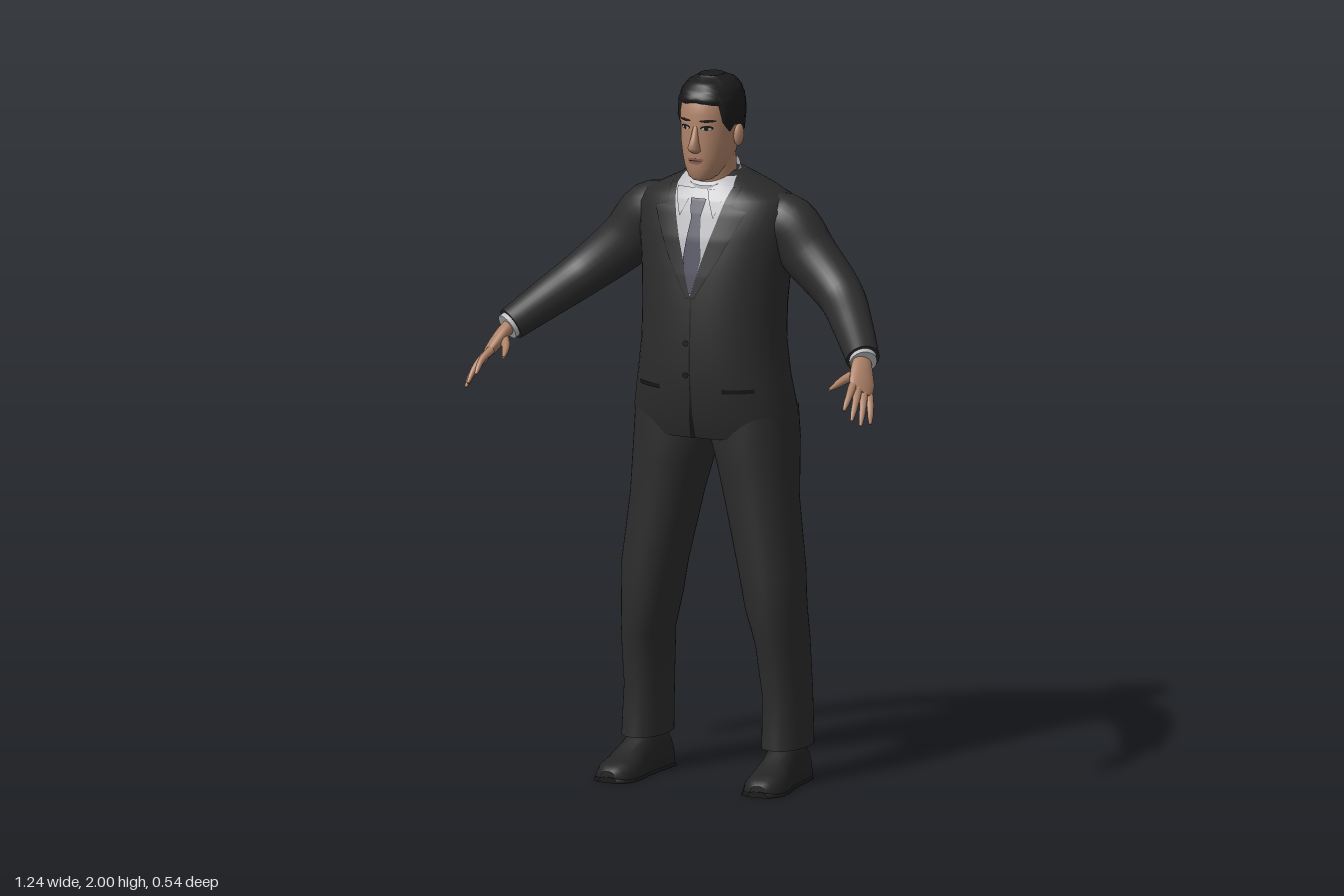
import * as THREE from 'three';

const V = (x, y, z) => new THREE.Vector3(x, y, z);
const mat = (name, color, double) => new THREE.MeshStandardMaterial({ name, color, side: double ? THREE.DoubleSide : THREE.FrontSide });

// Interpolate a row of a table keyed by its first column
function at(table, k) {
  if (k <= table[0][0]) return table[0];
  for (let i = 1; i < table.length; i++) {
    if (k <= table[i][0]) {
      const a = table[i - 1], b = table[i], t = (k - a[0]) / (b[0] - a[0]);
      return a.map((v, c) => v + (b[c] - v) * t);
    }
  }
  return table[table.length - 1];
}

function geometry(pos, idx) {
  const g = new THREE.BufferGeometry();
  g.setAttribute('position', new THREE.Float32BufferAttribute(pos.flatMap(p => [p.x, p.y, p.z]), 3));
  g.setIndex(idx);
  g.computeVertexNormals();
  return g;
}

// Skin a list of closed rings, with optional flat end caps
function loft(rings, caps = true) {
  const n = rings[0].length, pos = rings.flat(), idx = [];
  for (let i = 0; i < rings.length - 1; i++) for (let j = 0; j < n; j++) {
    const k = (j + 1) % n, a = i * n + j, b = i * n + k;
    idx.push(a, b, b + n, a, b + n, a + n);
  }
  if (caps) [rings[0], rings[rings.length - 1]].forEach((ring, end) => {
    const o = pos.length, c = V(0, 0, 0);
    ring.forEach(p => c.addScaledVector(p, 1 / n));
    pos.push(...ring.map(p => p.clone()), c);
    for (let j = 0; j < n; j++) {
      const k = (j + 1) % n;
      idx.push(o + n, o + (end ? j : k), o + (end ? k : j));
    }
  });
  return geometry(pos, idx);
}

// Horizontal rounded ring from a section row [y, rx, zFront, zBack, xCentre]
const POWER = 2.2;
const soft = v => Math.sign(v) * Math.abs(v) ** (2 / POWER);
function ring([y, rx, zf, zb, xc = 0], side = 1, n = 48, tilt = 0) {
  return Array.from({ length: n }, (_, j) => {
    const a = j / n * Math.PI * 2, dz = (zf - zb) / 2 * soft(Math.cos(a));
    return V(side * xc + rx * soft(Math.sin(a)), y - tilt * dz, (zf + zb) / 2 + dz);
  });
}
const body = (table, side = 1, n = 48) => loft(table.map(r => ring(r, side, n)));

// Oval tube along a smooth path, one [ru, rv] pair per point
function limb(points, radii, across, steps = 18, n = 20) {
  const curve = new THREE.CatmullRomCurve3(points);
  const table = radii.map((r, i) => [i / (radii.length - 1), ...r]);
  return loft(Array.from({ length: steps + 1 }, (_, i) => {
    const t = i / steps, c = curve.getPoint(t), d = curve.getTangent(t);
    const u = across.clone().addScaledVector(d, -across.dot(d)).normalize(), v = d.clone().cross(u);
    const [, ru, rv] = at(table, t);
    return Array.from({ length: n }, (_, j) => {
      const a = j / n * Math.PI * 2;
      return c.clone().addScaledVector(u, ru * Math.cos(a)).addScaledVector(v, rv * Math.sin(a));
    });
  }));
}

// Thin sheet lying on the front (or back, dir -1) of a sectioned body
function patch(table, y0, y1, edgeA, edgeB, off, dir = 1, rows = 20, cols = 8) {
  const pos = [], idx = [];
  for (let i = 0; i <= rows; i++) {
    const y = y0 + (y1 - y0) * i / rows, [, rx, zf, zb] = at(table, y);
    const l = Math.min(edgeA(y), edgeB(y)), r = Math.max(edgeA(y), edgeB(y));
    for (let j = 0; j <= cols; j++) {
      const x = dir > 0 ? l + (r - l) * j / cols : r + (l - r) * j / cols;
      const q = Math.max(0, 1 - Math.abs(x / rx) ** POWER) ** (1 / POWER);
      pos.push(V(x, y, (zf + zb) / 2 + dir * ((zf - zb) / 2 * q + off)));
      if (i < rows && j < cols) {
        const a = i * (cols + 1) + j, b = a + cols + 1;
        idx.push(a, a + 1, b + 1, a, b + 1, b);
      }
    }
  }
  return geometry(pos, idx);
}
function spot(table, x, y, w, h, off) {
  const half = k => w * Math.sqrt(Math.max(0, 1 - ((k - y) / h) ** 2));
  return patch(table, y - h, y + h, k => x - half(k), k => x + half(k), off, 1, 10, 6);
}

const TORSO = [[.985, .235, .04, -.264], [1.05, .235, .063, -.266], [1.15, .217, .077, -.26], [1.25, .205, .077, -.256],
  [1.35, .205, .072, -.262], [1.45, .212, .06, -.268], [1.55, .225, .042, -.268], [1.62, .23, .02, -.262],
  [1.655, .21, .006, -.254], [1.68, .16, -.01, -.242], [1.705, .11, -.028, -.215], [1.725, .078, -.06, -.18]];
const LEG = [[.105, .062, -.01, -.215, .215], [.25, .06, -.018, -.215, .212], [.4, .064, .012, -.208, .206],
  [.5, .077, .022, -.2, .19], [.6, .086, .027, -.2, .18], [.8, .097, .027, -.215, .145], [.9, .108, .03, -.235, .13],
  [.97, .117, .033, -.25, .118], [1.06, .115, .03, -.245, .115]];
const HEAD = [[1.712, .026, .02, -.05], [1.722, .04, .029, -.08], [1.75, .056, .036, -.125], [1.78, .067, .036, -.152],
  [1.82, .074, .039, -.166], [1.86, .077, .036, -.177], [1.9, .079, .036, -.181], [1.935, .077, .029, -.178],
  [1.96, .068, .014, -.165], [1.978, .052, -.008, -.142], [1.989, .025, -.04, -.105]];
const NECK = [[1.64, .066, -.04, -.16], [1.7, .062, -.022, -.16], [1.75, .06, -.012, -.155], [1.8, .058, -.02, -.15]];
const NOSE = [[1.792, .01, .04, .02], [1.799, .017, .054, .02], [1.81, .016, .066, .02], [1.835, .011, .053, .02], [1.868, .007, .038, .02]];
const OPENING = [[1.39, 0], [1.48, .025], [1.6, .062], [1.69, .085], [1.715, .078]];
const LAPEL = [[1.39, .012], [1.5, .075], [1.615, .13], [1.63, .135], [1.64, .095], [1.69, .105]];
const TIE = [[1.4, .003], [1.46, .02], [1.5, .027], [1.61, .014], [1.618, .016], [1.66, .024]];
const HAIRLINE = [[0, 1.932], [45, 1.922], [56, 1.87], [74, 1.84], [84, 1.86], [104, 1.85], [116, 1.79], [180, 1.775]];

// Hair shell hugging the skull down to the hairline
function hairGeometry(n = 72, rows = 22) {
  return loft(Array.from({ length: rows + 1 }, (_, i) => Array.from({ length: n }, (_, j) => {
    const t = i / rows, a = j / n * Math.PI * 2, deg = Math.min(a, Math.PI * 2 - a) * 180 / Math.PI;
    const low = at(HAIRLINE, deg)[1], y = low + (1.989 - low) * (1 - (1 - t) ** 2);
    const [, rx, zf, zb] = at(HEAD, y);
    const off = Math.min(1, t * 8) * (.009 + .0025 * Math.sin(a * 9 + i * 1.3) * Math.sin(i * .9 + a * 4)) - .001;
    return V((rx + off) * soft(Math.sin(a)), y + .011 * t * t, (zf + zb) / 2 + ((zf - zb) / 2 + off) * soft(Math.cos(a)));
  })));
}

// Shoe made of flat-bottomed arches from heel to toe
function shoeGeometry(rows, n = 28) {
  return loft(rows.map(([z, w, h]) => Array.from({ length: n }, (_, j) => {
    const a = j / n * Math.PI * 2, c = Math.cos(a), s = Math.sin(a);
    return V(w * Math.sign(c) * Math.abs(c) ** .7, s > 0 ? h * s ** .85 : 0, z);
  })));
}
const SHOE = [[-.09, .035, .075], [-.078, .05, .1], [-.03, .053, .125], [.03, .051, .125], [.08, .053, .095],
  [.13, .06, .068], [.17, .06, .056], [.2, .048, .046], [.215, .025, .032]];

export function createModel() {
  const model = new THREE.Group();
  const suit = mat('suit charcoal', 0x2c2c2d, true), seam = mat('seam black', 0x171718, true);
  const skin = mat('skin', 0xae8268), hair = mat('hair black', 0x1b1b1c);
  const shirt = mat('shirt grey white', 0xbcbcc0, true), tie = mat('tie slate', 0x4c4d5c, true);
  const shoe = mat('shoe black', 0x242425), lip = mat('lip', 0x8c5a4c, true), eye = mat('eye white', 0xb5aaa2, true);
  const add = (name, geo, material, parent = model) => {
    const m = new THREE.Mesh(geo, material);
    m.name = name;
    parent.add(m);
    return m;
  };

  // Jacket, shirt front and tie
  const open = y => at(OPENING, y)[1], tieHalf = y => Math.min(at(TIE, y)[1], open(y));
  add('jacket', body(TORSO), suit);
  add('shirtFront', patch(TORSO, 1.39, 1.715, y => -open(y), open, .003, 1, 40, 16), shirt);
  add('tie', patch(TORSO, 1.4, 1.615, y => -tieHalf(y), tieHalf, .007), tie);
  add('tieKnot', patch(TORSO, 1.612, 1.66, y => -tieHalf(y), tieHalf, .0095), tie);
  add('frontSeam', patch(TORSO, .986, 1.39, y => y < 1.1 ? (1.1 - y) * -.1 : .001, y => .005, .002), seam);
  add('backVent', patch(TORSO, .986, 1.16, () => -.003, () => .003, .002, -1), seam);
  for (const y of [1.26, 1.17]) add('jacketButton', spot(TORSO, -.008, y, .009, .009, .005), seam);
  const collar = [[1.675, .078, -.004, -.178], [1.7, .074, -.006, -.174], [1.724, .068, -.01, -.168]];
  add('shirtCollar', loft(collar.map(r => ring(r, 1, 48, .4)), false), shirt);

  // Head
  add('neck', body(NECK), skin);
  add('head', body(HEAD), skin);
  add('nose', body(NOSE, 1, 20), skin);
  add('hair', hairGeometry(), hair);
  add('upperLip', spot(HEAD, 0, 1.774, .024, .0045, .002), lip);
  add('lowerLip', spot(HEAD, 0, 1.766, .019, .005, .002), lip);
  add('mouthLine', spot(HEAD, 0, 1.771, .023, .0014, .0035), seam);

  for (const s of [1, -1]) {
    const side = s > 0 ? 'left' : 'right', P = (x, y, z) => V(s * x, y, z);

    // Face features
    add(side + 'EyeLashes', spot(HEAD, s * .032, 1.864, .0165, .0075, .0015), seam);
    add(side + 'Eye', spot(HEAD, s * .032, 1.862, .013, .0045, .0025), eye);
    add(side + 'Iris', spot(HEAD, s * .032, 1.8625, .0055, .005, .0035), hair);
    add(side + 'Eyebrow', spot(HEAD, s * .034, 1.884, .021, .004, .002), hair);
    const ear = add(side + 'Ear', new THREE.SphereGeometry(1, 16, 12), skin);
    ear.scale.set(.011, .031, .019);
    ear.position.set(s * .083, 1.832, -.073);
    ear.rotation.set(-.15, s * -.25, 0);

    // Lapel over its dark edge, collar wing and pocket
    const inner = y => s * open(y), outer = y => s * at(LAPEL, y)[1];
    add(side + 'LapelEdge', patch(TORSO, 1.385, 1.69, inner, y => outer(y) + s * .004, .003, 1, 40), seam);
    add(side + 'Lapel', patch(TORSO, 1.39, 1.69, inner, outer, .006, 1, 40), suit);
    add(side + 'CollarWing', patch(TORSO, 1.61, 1.685, y => s * (.05 - (y - 1.61) * .42),
      y => s * (.052 + (y - 1.61) * .35), .0075), shirt);
    add(side + 'Pocket', patch(TORSO, 1.122, 1.134, () => s * .095, () => s * .175, .003), seam);

    // Sleeve and shirt cuff
    add(side + 'Sleeve', limb([P(.13, 1.575, -.115), P(.205, 1.575, -.125), P(.28, 1.495, -.122), P(.39, 1.4, -.085),
      P(.465, 1.335, -.005), P(.54, 1.268, .088)],
    [[.075, .085], [.08, .09], [.074, .08], [.064, .066], [.056, .057], [.047, .047]], V(0, 0, 1), 28, 28), suit);
    add(side + 'Cuff', limb([P(.53, 1.277, .075), P(.547, 1.261, .099)], [[.04, .04], [.038, .038]], V(0, 0, 1), 2), shirt);

    // Hand with spread fingers
    const hand = new THREE.Group();
    hand.name = side + 'Hand';
    model.add(hand);
    const spread = P(.6, -.5, -.6);
    add('palm', limb([P(.54, 1.268, .09), P(.552, 1.245, .12), P(.566, 1.215, .15), P(.577, 1.19, .18)],
      [[.026, .02], [.035, .02], [.041, .018], [.036, .011]], spread, 10), skin, hand);
    const fingers = [[.555, 1.212, .187, .565, 1.157, .265], [.568, 1.202, .18, .589, 1.13, .266],
      [.58, 1.19, .168, .606, 1.113, .243], [.59, 1.18, .154, .617, 1.112, .203]];
    for (const [a, b, c, d, e, f] of fingers) {
      add('finger', limb([P(a, b, c), P((a + d) / 2 + .004, (b + e) / 2 + .006, (c + f) / 2 + .004), P(d, e, f)],
        [[.012, .012], [.0115, .011], [.0095, .009], [.0085, .008], [.004, .004]], spread, 10, 12), skin, hand);
    }
    add('thumb', limb([P(.55, 1.238, .12), P(.52, 1.222, .165), P(.5, 1.202, .222)],
      [[.019, .016], [.015, .013], [.011, .01], [.004, .004]], spread, 10, 12), skin, hand);

    // Trouser leg and shoe
    add(side + 'TrouserLeg', body(LEG, s), suit);
    const foot = new THREE.Group();
    foot.name = side + 'Shoe';
    foot.position.set(s * .215, 0, -.098);
    foot.rotation.y = s * .07;
    add('shoeUpper', shoeGeometry(SHOE), shoe, foot);
    add('shoeSole', shoeGeometry(SHOE.map(([z, w]) => [z * 1.015, w + .004, .016])), seam, foot);
    model.add(foot);
  }
  return model;
}
